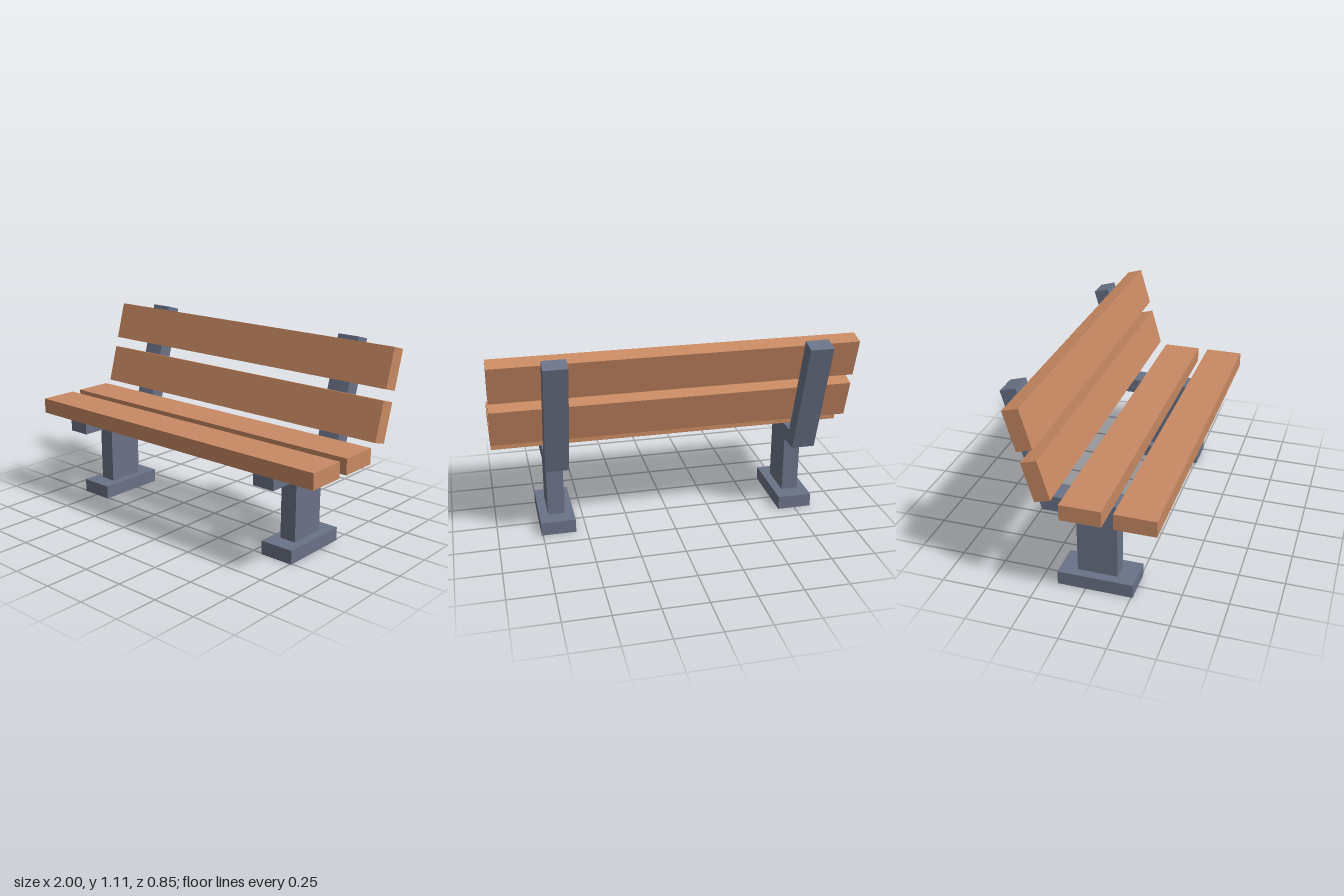
import * as THREE from 'three';

export function createModel() {
  const bench = new THREE.Group();
  bench.name = 'bench';
  const wood = new THREE.MeshStandardMaterial({ color: 0xc88963 });
  wood.name = 'warm wood';
  const metal = new THREE.MeshStandardMaterial({ color: 0x6a7287 });
  metal.name = 'slate metal';

  function add(parent, name, geometry, material, x, y, z) {
    const mesh = new THREE.Mesh(geometry, material);
    mesh.name = name;
    mesh.position.set(x, y, z);
    parent.add(mesh);
    return mesh;
  }

  // Bent bracket carrying seat and back: side profile as (z, y)
  const profile = new THREE.Shape([
    [0.38, 0.435], [0.38, 0.522], [-0.17, 0.522],
    [-0.34, 1.11], [-0.425, 1.086], [-0.235, 0.435],
  ].map(([z, y]) => new THREE.Vector2(z, y)));
  const bracketGeometry = new THREE.ExtrudeGeometry(profile, { depth: 0.13, bevelEnabled: false });
  bracketGeometry.translate(0, 0, -0.065).rotateY(-Math.PI / 2);

  // Two supports, each with foot, post and bracket
  for (const [name, x] of [['rightSupport', -0.75], ['leftSupport', 0.66]]) {
    const support = new THREE.Group();
    support.name = name;
    support.position.x = x;
    add(support, 'foot', new THREE.BoxGeometry(0.197, 0.078, 0.414), metal, 0, 0.039, 0.052);
    add(support, 'post', new THREE.BoxGeometry(0.096, 0.357, 0.22), metal, 0, 0.2565, 0.052);
    add(support, 'bracket', bracketGeometry, metal, 0, 0, 0);
    bench.add(support);
  }

  // Seat slats lie flat on the brackets
  const seatGeometry = new THREE.BoxGeometry(2, 0.088, 0.22);
  add(bench, 'frontSeatSlat', seatGeometry, wood, 0, 0.566, 0.318);
  add(bench, 'rearSeatSlat', seatGeometry, wood, 0, 0.566, 0.038);

  // Back slats lean with the bracket uprights
  const backGeometry = new THREE.BoxGeometry(2, 0.22, 0.089);
  const lean = -0.28;
  add(bench, 'lowerBackSlat', backGeometry, wood, 0, 0.7205, -0.183).rotation.x = lean;
  add(bench, 'upperBackSlat', backGeometry, wood, 0, 0.9895, -0.261).rotation.x = lean;

  return bench;
}
